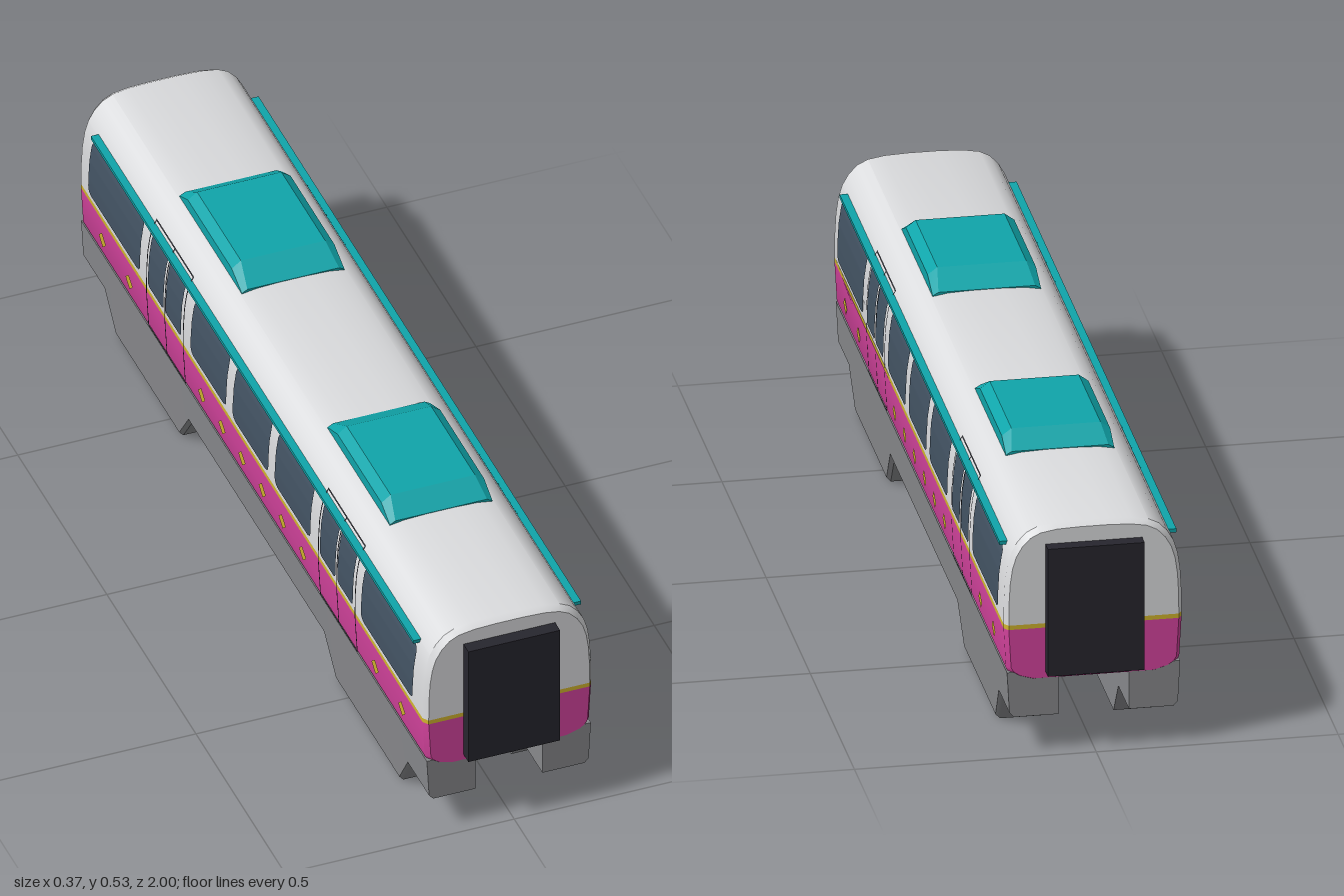
import * as THREE from 'three';
import { toCreasedNormals } from 'three/addons/utils/BufferGeometryUtils.js';

const material = (name, color) => Object.assign(new THREE.MeshStandardMaterial({ color }), { name });

// Right half of the body cross-section, bottom to top: [x, y]
const lower = [[0.13, 0.154], [0.16, 0.163], [0.173, 0.172], [0.179, 0.182], [0.184, 0.27]];
const middle = [[0.184, 0.27], [0.184, 0.28]];
const upper = [[0.184, 0.28], [0.1835, 0.33], [0.181, 0.375], [0.176, 0.41], [0.168, 0.437],
  [0.155, 0.46], [0.137, 0.479], [0.115, 0.49], [0.08, 0.496], [0.03, 0.498]];
const side = [...lower, ...middle, ...upper];

// Half-width of the body at a height
function bodyX(y) {
  for (let i = 1; i < side.length; i++) {
    const [x0, y0] = side[i - 1], [x1, y1] = side[i];
    if (y <= y1 && y1 > y0) return x0 + (x1 - x0) * (y - y0) / (y1 - y0);
  }
  return 0;
}

// Capped skin over convex rings, counterclockwise seen from +z, ordered by z
function loft(rings, crease = 0.6) {
  const n = rings[0].length, index = [];
  for (let i = 0; i < rings.length - 1; i++) {
    for (let j = 0; j < n; j++) {
      const a = i * n + j, b = i * n + (j + 1) % n;
      index.push(a, b, b + n, a, b + n, a + n);
    }
  }
  const last = (rings.length - 1) * n;
  for (let j = 1; j < n - 1; j++) index.push(0, j + 1, j, last, last + j, last + j + 1);
  const g = new THREE.BufferGeometry();
  g.setAttribute('position', new THREE.Float32BufferAttribute(rings.flat(2), 3));
  g.setIndex(index);
  return toCreasedNormals(g.toNonIndexed(), crease);
}

// Thin plate that follows the body side; halfWidth(t) gives its outline, t from 0 to 1
function plate(s, z, y0, y1, halfWidth, offset, rows = 16) {
  const pos = [], index = [];
  for (let i = 0; i <= rows; i++) {
    const t = i / rows, y = y0 + (y1 - y0) * t, x = s * (bodyX(y) + offset), w = s * halfWidth(t);
    pos.push(x, y, z + w, x, y, z - w);
    const a = 2 * i;
    if (i < rows) index.push(a, a + 1, a + 3, a, a + 3, a + 2);
  }
  const g = new THREE.BufferGeometry();
  g.setAttribute('position', new THREE.Float32BufferAttribute(pos, 3));
  g.setIndex(index);
  g.computeVertexNormals();
  return g;
}

// Outline of a rectangle with rounded corners
const rounded = (half, height, r) => t => {
  const d = Math.max(0, r - Math.min(t, 1 - t) * height);
  return half - r + Math.sqrt(Math.max(0, r * r - d * d));
};

export function createModel() {
  const model = new THREE.Group();
  const white = material('body white', 0xdcdddf);
  const magenta = material('magenta', 0xd6449f);
  const yellow = material('yellow', 0xd2b52e);
  const teal = material('teal', 0x10a5aa);
  const grey = material('underframe grey', 0x88898c);
  const dark = material('dark rubber', 0x27262e);
  const glass = material('window glass', 0x435363);
  const seam = material('door seam', 0x34343a);

  const add = (name, geometry, mat, parent = model) => {
    const mesh = new THREE.Mesh(geometry, mat);
    mesh.name = name;
    parent.add(mesh);
    return mesh;
  };
  const box = (name, w, h, d, x, y, z, mat) =>
    add(name, new THREE.BoxGeometry(w, h, d), mat).position.set(x, y, z);

  // Body shell in three colour bands, with a small chamfer at both ends
  const band = (name, half, mat) => {
    const ring = [...half, ...half.map(([x, y]) => [-x, y]).reverse()];
    const at = (z, k) => ring.map(([x, y]) => [x * k, 0.3 + (y - 0.3) * k, z]);
    add(name, loft([at(-0.972, 0.955), at(-0.958, 1), at(0.958, 1), at(0.972, 0.955)]), mat);
  };
  band('lowerBody', lower, magenta);
  band('waistStripe', middle, yellow);
  band('upperBody', upper, white);

  // Side skirts that drop down around the wheels
  const stations = [[-0.97, 0.077], [-0.85, 0.077], [-0.795, 0], [-0.44, 0], [-0.38, 0.077],
    [0.38, 0.077], [0.44, 0], [0.795, 0], [0.85, 0.077], [0.97, 0.077]];
  for (const s of [1, -1]) {
    const rings = stations.map(([z, b]) => {
      const taper = 0.171 + b * 0.04;
      const r = [[0.073, b, z], [taper - 0.009, b, z], [taper, b + 0.01, z], [0.179, 0.176, z], [0.073, 0.176, z]]
        .map(([x, y, w]) => [s * x, y, w]);
      return s > 0 ? r : r.reverse();
    });
    add(s > 0 ? 'leftSkirt' : 'rightSkirt', loft(rings), grey);
  }

  // End gangways, undercarriage blocks and roof units
  for (const e of [1, -1]) {
    box('gangway', 0.2, 0.282, 0.05, 0, 0.315, e * 0.975, dark);
    box('undercarriageBlock', 0.085, 0.035, 0.36, 0, 0.1475, e * 0.61, dark);

    const section = (z, shoulder, top, w) => [[0.112, 0.478], [0.112, shoulder], [w, top],
      [-w, top], [-0.112, shoulder], [-0.112, 0.478]].map(([x, y]) => [x, y, z]);
    const rings = [section(e * 0.24, 0.492, 0.499, 0.1), section(e * 0.297, 0.515, 0.53, 0.092),
      section(e * 0.543, 0.515, 0.53, 0.092), section(e * 0.59, 0.492, 0.499, 0.1)];
    add('roofUnit', loft(e > 0 ? rings : rings.reverse(), 0.3), teal);
  }

  // Side details, the same on both sides
  for (const s of [1, -1]) {
    box('gutter', 0.022, 0.008, 1.81, s * 0.172, 0.436, 0, teal);

    for (const [z, w] of [[0.765, 0.145], [0.236, 0.1], [0, 0.1], [-0.236, 0.1], [-0.765, 0.145]])
      add('window', plate(s, z, 0.295, 0.425, rounded(w, 0.13, 0.016), 0.003, 32), glass);

    // Paired doors with seams and windows
    for (const d of [1, -1]) {
      for (const z of [0.585, 0.482, 0.379])
        add('doorSeam', plate(s, d * z, 0.182, 0.45, () => 0.002, 0.002, 24), seam);
      for (const y of [0.182, 0.447])
        add('doorEdge', plate(s, d * 0.482, y, y + 0.003, () => 0.105, 0.002, 1), seam);
      for (const z of [0.531, 0.433])
        add('doorWindow', plate(s, d * z, 0.295, 0.425, rounded(0.043, 0.13, 0.008), 0.003, 32), glass);

      // Row of small diamonds along the lower body
      for (const z of [0.84, 0.69, 0.283, 0.169, 0.057])
        add('diamond', plate(s, d * z, 0.202, 0.238, t => 0.02 * (1 - Math.abs(2 * t - 1)) ** 0.9, 0.002, 8), yellow);
    }
  }
  return model;
}
